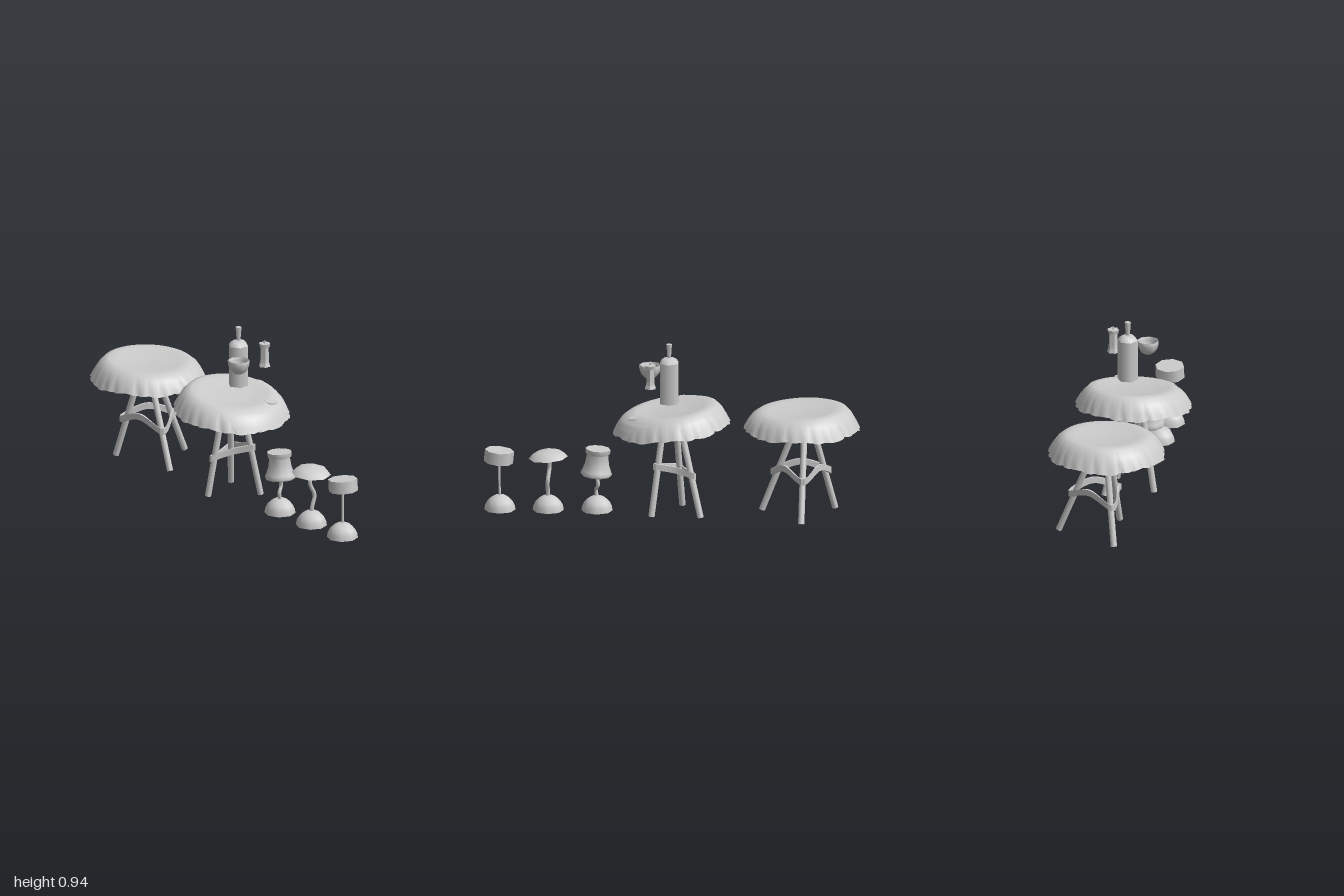
import * as THREE from 'three';

const mat = new THREE.MeshStandardMaterial({ color: 0xcccccc });
const sheetMat = new THREE.MeshStandardMaterial({ color: 0xcccccc, side: THREE.DoubleSide });
const flatMat = new THREE.MeshStandardMaterial({ color: 0xcccccc, side: THREE.DoubleSide, flatShading: true });
const V = (x, y, z) => new THREE.Vector3(x, y, z);

function add(parent, name, geo, material = mat, pos = [0, 0, 0]) {
  const m = new THREE.Mesh(geo, material);
  m.name = name;
  m.position.set(...pos);
  parent.add(m);
  return m;
}

// profile listed from bottom to top as [radius, y]
const lathe = (pts, sides) => new THREE.LatheGeometry(pts.map(p => new THREE.Vector2(...p)), sides);

function rod(parent, name, a, b, r, sides = 10) {
  const d = b.clone().sub(a);
  const m = add(parent, name, new THREE.CylinderGeometry(r, r, d.length(), sides));
  m.position.copy(a).add(b).multiplyScalar(0.5);
  m.quaternion.setFromUnitVectors(V(0, 1, 0), d.normalize());
}

// Table top: upper profile from the sunken middle out to the hem
const CAP = [[0, 0.564], [0.11, 0.567], [0.17, 0.575], [0.21, 0.58], [0.24, 0.57],
  [0.268, 0.546], [0.29, 0.513], [0.302, 0.49], [0.31, 0.474]];
const ARC = [0];
CAP.forEach((p, i) => { if (i) ARC.push(ARC[i - 1] + Math.hypot(p[0] - CAP[i - 1][0], p[1] - CAP[i - 1][1])); });
const ARC_END = ARC[ARC.length - 1];

// the whole cap leans by the slope, its crown leans a little more
const lean = (z, r, slope) => -z * (slope + 0.05 * (1 - THREE.MathUtils.smoothstep(r, 0.22, 0.3)));

// point on the cap at a distance s along its profile
function capPoint(s, angle, slope, lift) {
  let i = 1;
  while (i < ARC.length - 1 && s > ARC[i]) i++;
  const len = ARC[i] - ARC[i - 1];
  const t = Math.min((s - ARC[i - 1]) / len, 1.15);
  const [r0, y0] = CAP[i - 1], [r1, y1] = CAP[i];
  const r = r0 + (r1 - r0) * t - (y1 - y0) / len * lift;
  const y = y0 + (y1 - y0) * t + (r1 - r0) / len * lift;
  const z = r * Math.cos(angle);
  return V(r * Math.sin(angle), y + lean(z, r, slope), z);
}

// turned part of the cap with narrow pleats and an uneven hem
function capGeometry(profile, slope) {
  const g = lathe(profile, 112);
  const p = g.attributes.position;
  for (let i = 0; i < p.count; i++) {
    const x = p.getX(i), z = p.getZ(i), r = Math.hypot(x, z);
    const seg = Math.round((Math.atan2(x, z) / (Math.PI * 2) + 1) * 112) % 112;
    const w = THREE.MathUtils.smoothstep(r, 0.26, 0.312);
    const k = 1 - w * (seg % 4 ? 0 : 0.03 + 0.015 * Math.sin(seg * 0.6));
    const hem = w * (0.003 * Math.sin(seg * 0.9) + 0.006 * Math.sin(seg * 0.29));
    p.setXYZ(i, x * k, p.getY(i) + hem + lean(z, r, slope), z * k);
  }
  g.computeVertexNormals();
  return g;
}

// flat strap running round the legs, with rise and bulge between them
function strapGeometry(corners, rise, bulge) {
  const pts = [];
  const mid = V(0, 0, 0);
  corners.forEach(c => mid.addScaledVector(c, 1 / corners.length));
  corners.forEach((c, i) => {
    const h = c.clone().lerp(corners[(i + 1) % corners.length], 0.5);
    const outward = (p, k) => p.clone().sub(mid).setY(0).multiplyScalar(k).add(p);
    pts.push(outward(c, 0.22), outward(h, bulge).add(V(0, rise, 0)));
  });
  const curve = new THREE.CatmullRomCurve3(pts, true);
  const N = 48, pos = [], idx = [];
  for (let i = 0; i < N; i++) {
    const c = curve.getPointAt(i / N);
    const out = V(c.x - mid.x, 0, c.z - mid.z).normalize().multiplyScalar(0.006);
    for (const [o, h] of [[1, -0.017], [1, 0.017], [-1, 0.017], [-1, -0.017]])
      pos.push(c.x + out.x * o, c.y + h, c.z + out.z * o);
    for (let j = 0; j < 4; j++) {
      const a = i * 4 + j, b = i * 4 + (j + 1) % 4;
      const c2 = ((i + 1) % N) * 4 + j, d = ((i + 1) % N) * 4 + (j + 1) % 4;
      idx.push(a, c2, b, b, c2, d);
    }
  }
  const g = new THREE.BufferGeometry();
  g.setAttribute('position', new THREE.Float32BufferAttribute(pos, 3));
  g.setIndex(idx);
  g.computeVertexNormals();
  return g;
}

// legs: [foot, top, strap height]; the cap is hollow up to the ceiling
function table(name, z, slope, ceiling, legs, rise, bulge) {
  const t = new THREE.Group();
  t.name = name;
  t.position.z = z;
  add(t, 'tableTop', capGeometry([...CAP].reverse(), slope));
  const hollow = [[0, 1], [0.12, 1], [0.2, 0.93], [0.25, 0.75], [0.285, 0.35], [0.31, 0]];
  add(t, 'tableUnderside', capGeometry(hollow.map(([r, k]) => [r, 0.474 + (ceiling - 0.474) * k]), slope), sheetMat);
  const corners = legs.map(([f, h, y]) => {
    const foot = V(...f), top = V(...h);
    const reach = (ceiling + 0.005 - f[1]) / (h[1] - f[1]);
    rod(t, 'leg', foot, foot.clone().lerp(top, reach), 0.017);
    return foot.lerp(top, (y - f[1]) / (h[1] - f[1]));
  });
  add(t, 'legStrap', strapGeometry(corners, rise, bulge), flatMat);
  return t;
}

// small stool with a domed foot and a stem through the given points
function stool(name, z, stemPts, r) {
  const s = new THREE.Group();
  s.name = name;
  s.position.z = z;
  const dome = [];
  for (let i = 0; i <= 5; i++) {
    const a = (i / 5) * Math.PI / 2;
    dome.push([0.083 * Math.cos(a), 0.006 + 0.083 * Math.sin(a)]);
  }
  add(s, 'footBase', lathe([[0, 0.006], dome[0]], 8), sheetMat);
  add(s, 'domedFoot', lathe(dome, 8));
  const curve = new THREE.CatmullRomCurve3(stemPts.map(p => V(...p)));
  add(s, 'stem', new THREE.TubeGeometry(curve, 14, r, 6));
  return s;
}

export function createModel() {
  const root = new THREE.Group();
  root.name = 'tablesAndStools';

  const SLOPE = 0.1;
  const front = table('frontTable', 0, SLOPE, 0.55, [
    [[0.112, 0.006, 0.107], [0.04, 0.46, 0.05], 0.275],
    [[0.125, 0.006, -0.155], [0.035, 0.46, -0.05], 0.225],
    [[-0.122, 0.006, -0.05], [-0.05, 0.46, -0.02], 0.215]], 0.005, 0);
  const back = table('backTable', -0.69, 0, 0.515, [
    [[-0.027, 0.012, 0.213], [-0.01, 0.46, 0.04], 0.22],
    [[0.258, 0.015, -0.005], [0.075, 0.46, -0.015], 0.23],
    [[-0.078, 0.012, -0.175], [-0.015, 0.46, -0.06], 0.22]], 0.05, 0.45);
  root.add(front, back);

  // cloth draped over the front half of the front table
  const cloth = new THREE.PlaneGeometry(1, 1, 28, 28);
  const p = cloth.attributes.position;
  for (let i = 0; i < p.count; i++) {
    const u = p.getX(i) + 0.5, v = 0.5 - p.getY(i);
    const x = -0.2 + 0.44 * u;
    const z0 = -0.06 + 0.025 * Math.sin(u * 9);
    const z1 = Math.sqrt(ARC_END ** 2 - x * x) + 0.009 * Math.sin(u * 13);
    const z = z0 + (z1 - z0) * v;
    const q = capPoint(Math.hypot(x, z), Math.atan2(x, z), SLOPE, 0.005);
    p.setXYZ(i, q.x, q.y, q.z);
  }
  cloth.computeVertexNormals();
  add(front, 'cloth', cloth, sheetMat);

  // small flat patch lying on the cloth
  const patch = add(front, 'patch', new THREE.CylinderGeometry(0.035, 0.035, 0.005, 8), mat, [0.11, 0.552, 0.195]);
  patch.rotation.set(0.17, 0, -0.05);

  // bottle
  const bottle = new THREE.Group();
  bottle.name = 'bottle';
  bottle.position.set(0.035, 0, 0.015);
  bottle.rotation.y = Math.PI / 6;
  add(bottle, 'bottleBase', lathe([[0, 0.615], [0.055, 0.615]], 6), sheetMat);
  add(bottle, 'bottleBody', lathe([[0.055, 0.615], [0.055, 0.838]], 6));
  add(bottle, 'bottleShoulder', lathe([[0.055, 0.838], [0.045, 0.853], [0.028, 0.864], [0, 0.868]], 6));
  add(bottle, 'bottleNeck', new THREE.CylinderGeometry(0.017, 0.011, 0.076, 6), mat, [0, 0.902, 0]);
  root.add(bottle);

  // open bowl: outer wall up to the rim, then down the inside
  const bowl = [];
  for (let i = 0; i <= 6; i++) {
    const a = (i / 6) * Math.PI / 2;
    bowl.push([0.059 * Math.sin(a) ** 0.85, 0.8 - 0.077 * Math.cos(a)]);
  }
  const inside = bowl.map(([r, y]) => [r * 0.88, 0.8 - (0.8 - y) * 0.88]).reverse();
  add(root, 'bowl', lathe([...bowl, ...inside], 8), sheetMat, [-0.052, 0, 0.12]);

  // pepper mill
  const mill = new THREE.Group();
  mill.name = 'pepperMill';
  mill.position.set(0.135, 0, 0.112);
  mill.rotation.y = Math.PI / 6;
  add(mill, 'millBody', lathe([[0, 0.724], [0.033, 0.724], [0.026, 0.745], [0.024, 0.765], [0.023, 0.835]], 6), flatMat);
  add(mill, 'millCollar', new THREE.CylinderGeometry(0.032, 0.028, 0.02, 6), mat, [0, 0.842, 0]);
  add(mill, 'millKnob', new THREE.CylinderGeometry(0.005, 0.005, 0.016, 6), mat, [0, 0.858, 0]);
  root.add(mill);

  // drum stool
  const drum = stool('drumStool', 0.917, [[0, 0.07, 0], [0, 0.18, 0.003], [0, 0.275, 0.003]], 0.007);
  const seat = add(drum, 'drumSeat', new THREE.CylinderGeometry(0.078, 0.078, 0.066, 8), mat, [0, 0.301, 0.005]);
  seat.rotation.x = -0.09;

  // mushroom stool with a crooked stem
  const mush = stool('mushroomStool', 0.66,
    [[0, 0.07, 0], [0.004, 0.11, 0.002], [0.02, 0.17, 0.002], [-0.004, 0.235, -0.006], [0, 0.295, -0.006]], 0.011);
  const cap = add(mush, 'mushroomSeat', lathe([[0.105, -0.006], [0.085, 0.016], [0.05, 0.031], [0, 0.037]], 8),
    mat, [0, 0.302, 0]);
  add(cap, 'mushroomUnderside', lathe([[0, -0.013], [0.105, -0.006]], 8), sheetMat);
  cap.rotation.x = 0.08;

  // flared stool with a collar
  const flare = stool('flaredStool', 0.4,
    [[0, 0.07, 0], [-0.008, 0.12, 0.005], [0.012, 0.15, -0.006], [0, 0.21, 0.004]], 0.01);
  const shade = add(flare, 'flaredSeat', lathe([[0.078, -0.072], [0.085, -0.062], [0.077, -0.045], [0.064, -0.01],
    [0.057, 0.045], [0.066, 0.05], [0.067, 0.075]], 10), mat, [0, 0.272, 0]);
  add(shade, 'flaredSeatBottom', lathe([[0, -0.072], [0.078, -0.072]], 10), sheetMat);
  add(shade, 'flaredSeatTop', lathe([[0.067, 0.075], [0, 0.075]], 10), sheetMat);
  shade.rotation.x = -0.07;

  root.add(drum, mush, flare);
  return root;
}
